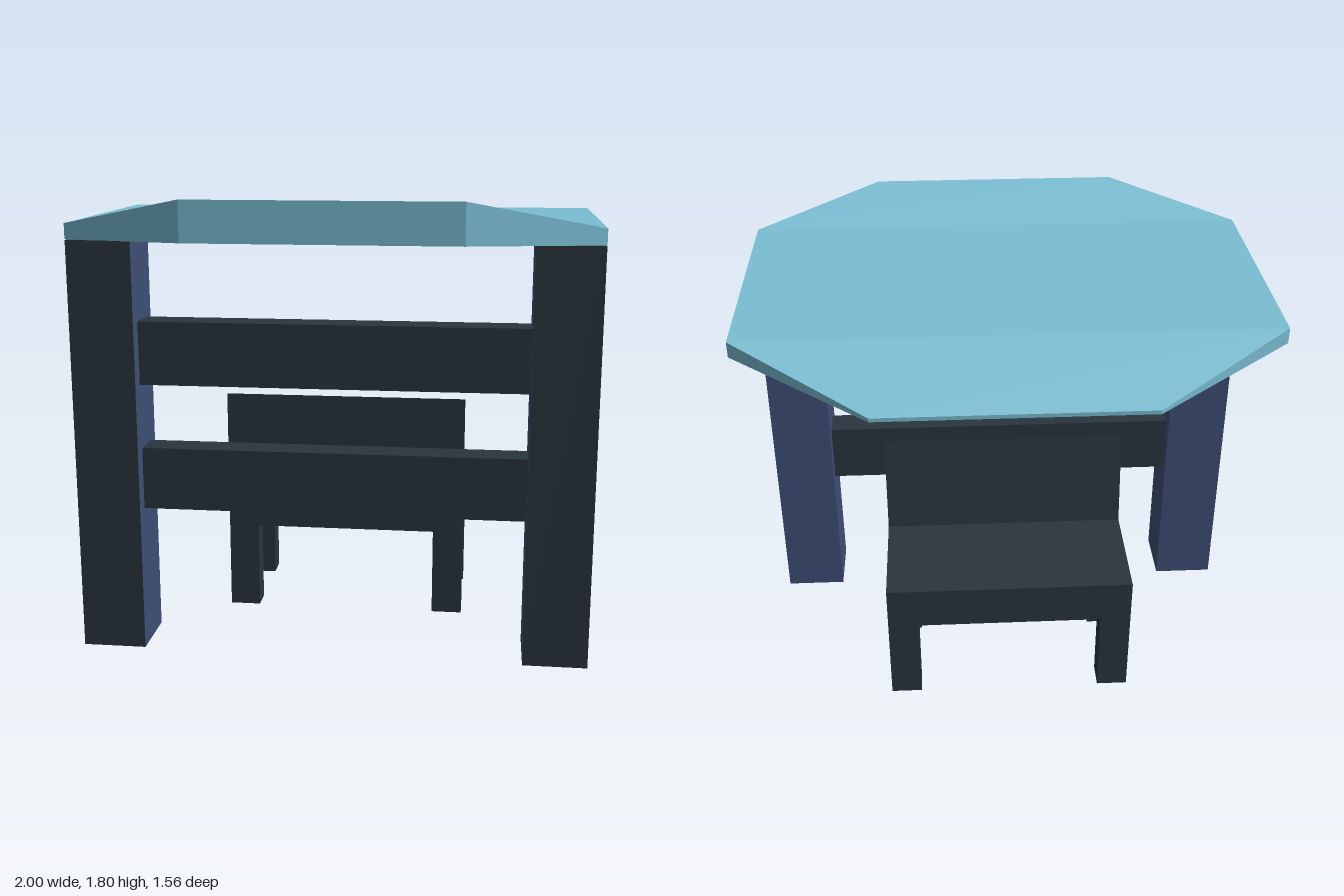
import * as THREE from 'three';

function material(name, color) {
  const m = new THREE.MeshStandardMaterial({ color });
  m.name = name;
  return m;
}

export function createModel() {
  const teal = material('teal', 0x7abdd2);
  const navy = material('navy', 0x3e4f76);
  const slate = material('slate', 0x29353e);

  const model = new THREE.Group();
  model.name = 'shelterWithBench';

  const add = (name, geometry, mat, parent = model) => {
    const mesh = new THREE.Mesh(geometry, mat);
    mesh.name = name;
    parent.add(mesh);
    return mesh;
  };

  // Box given by its min and max corners
  const box = (name, [x0, y0, z0], [x1, y1, z1], mat, parent) => {
    const mesh = add(name, new THREE.BoxGeometry(x1 - x0, y1 - y0, z1 - z0), mat, parent);
    mesh.position.set((x0 + x1) / 2, (y0 + y1) / 2, (z0 + z1) / 2);
    return mesh;
  };

  // Posts: navy with a slate front face
  const postFaces = [navy, navy, navy, navy, slate, navy];
  box('rightPost', [-1, 0, 0.28], [-0.75, 1.627, 0.53], postFaces);
  box('leftPost', [0.75, 0, 0.28], [1, 1.627, 0.53], postFaces);

  // Two rails between the posts
  box('lowerRail', [-0.75, 0.565, 0.343], [0.75, 0.812, 0.468], slate);
  box('upperRail', [-0.75, 1.065, 0.343], [0.75, 1.313, 0.468], slate);

  // Bench: seat and tapering backrest share one side profile
  const bench = new THREE.Group();
  bench.name = 'bench';
  model.add(bench);
  const profile = new THREE.Shape([
    [-0.03, 0.36], [0.47, 0.36], [0.47, 0.537], [0.02, 0.537], [-0.03, 0.94],
  ].map(([x, y]) => new THREE.Vector2(x, y)));
  const seat = new THREE.ExtrudeGeometry(profile, { depth: 1, bevelEnabled: false });
  seat.translate(0, 0, -0.5).rotateY(Math.PI / 2);
  add('seatAndBackrest', seat, slate, bench);
  for (const x of [-0.5, 0.375]) {
    box('frontLeg', [x, 0, -0.067], [x + 0.125, 0.36, 0.03], slate, bench);
    box('backLeg', [x, 0, -0.47], [x + 0.125, 0.36, -0.367], slate, bench);
  }

  // Roof: cross-sections from back to front as [z, halfWidth, bottom, top]
  const sections = [
    [-0.78, 0.5, 1.535, 1.55],
    [-0.47, 1, 1.63, 1.69],
    [0.53, 1, 1.63, 1.69],
    [0.78, 0.5, 1.645, 1.797],
  ].map(([z, w, b, t]) => [[-w, b, z], [w, b, z], [w, t, z], [-w, t, z]]);
  const shell = [];
  const underside = [];
  const quad = (out, a, b, c, d) => out.push(...a, ...b, ...c, ...a, ...c, ...d);
  for (let i = 0; i < 3; i++) {
    const p = sections[i];
    const q = sections[i + 1];
    quad(underside, p[0], p[1], q[1], q[0]);
    quad(shell, q[3], q[2], p[2], p[3]);
    quad(shell, q[1], p[1], p[2], q[2]);
    quad(shell, p[0], q[0], q[3], p[3]);
  }
  quad(shell, ...sections[3]);
  quad(shell, ...[...sections[0]].reverse());
  const surface = (points) => {
    const g = new THREE.BufferGeometry();
    g.setAttribute('position', new THREE.Float32BufferAttribute(points, 3));
    g.computeVertexNormals();
    return g;
  };
  const roof = new THREE.Group();
  roof.name = 'roof';
  model.add(roof);
  add('roofTopAndEdges', surface(shell), teal, roof);
  add('roofUnderside', surface(underside), navy, roof);

  return model;
}
